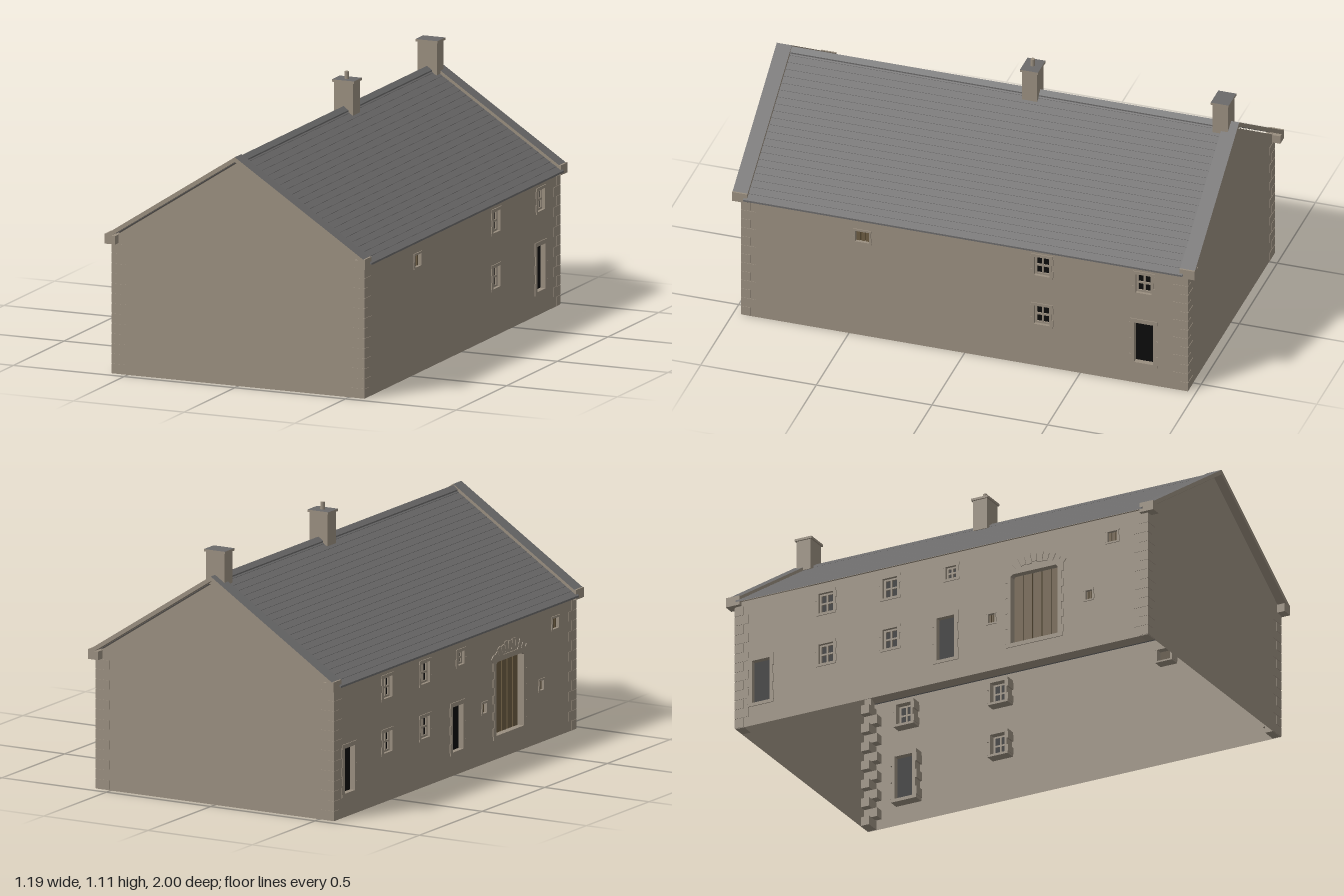
import * as THREE from 'three';

const mat = (name, color, side = THREE.FrontSide) => {
  const m = new THREE.MeshStandardMaterial({ color, side });
  m.name = name;
  return m;
};

export function createModel() {
  const model = new THREE.Group();
  model.name = 'farmhouse';
  const stone = mat('stone', 0x998e7f);
  const wallMat = mat('stoneWall', 0x998e7f, THREE.DoubleSide);
  const slate = mat('slate', 0x6b6a6a);
  const black = mat('darkOpening', 0x0c0c0c, THREE.DoubleSide);
  const wood = mat('doorWood', 0x6b5b42);
  const woodDark = mat('darkWood', 0x54462f);

  const X = 0.57, Z = 0.965, EAVE = 0.57, SLOPE = 0.65;
  const wallTop = x => 0.942 - SLOPE * Math.abs(x);

  const add = (parent, name, geo, material, x = 0, y = 0, z = 0) => {
    const m = new THREE.Mesh(geo, material);
    m.name = name;
    m.position.set(x, y, z);
    parent.add(m);
    return m;
  };
  const box = (parent, name, w, h, d, material, x, y, z) =>
    add(parent, name, new THREE.BoxGeometry(w, h, d), material, x, y, z);
  const poly = pts => new THREE.Shape(pts.map(p => new THREE.Vector2(...p)));

  // Gable walls
  for (const s of [1, -1]) {
    const g = new THREE.ShapeGeometry(poly([[-X, 0], [X, 0], [X, wallTop(X)], [0, wallTop(0)], [-X, wallTop(X)]]));
    add(model, 'gableWall', g, wallMat, 0, 0, s * Z).rotation.y = s > 0 ? 0 : Math.PI;
  }

  // Openings: u along the wall (left to right from outside), v centre height
  const STONE_D = 0.05, OUT = X + 0.004;
  const surround = (wall, name, u, v, w, h, jamb) => {
    const g = new THREE.Group();
    g.name = name + 'Surround';
    wall.add(g);
    const z = OUT - STONE_D / 2;
    const n = Math.max(2, Math.round(h / 0.035));
    for (const s of [-1, 1]) for (let i = 0; i < n; i++) {
      const jw = jamb * (i % 2 ? 0.7 : 1.15);
      box(g, 'jambStone', jw, h / n, STONE_D, stone, u + s * (w + jw) / 2, v - h / 2 + (i + 0.5) * h / n, z);
    }
    box(g, 'lintel', w + 2 * jamb, jamb, STONE_D, stone, u, v + (h + jamb) / 2, z);
    box(g, 'sill', w + 2 * jamb, jamb * 0.8, STONE_D, stone, u, v - h / 2 - jamb * 0.4, z);
  };
  const pane = (wall, name, u, v, w, h, z, material = black) =>
    add(wall, name, new THREE.PlaneGeometry(w, h), material, u, v, z);

  const fillers = {
    window(wall, u, v, w, h) {
      surround(wall, 'window', u, v, w, h, 0.013);
      pane(wall, 'glass', u, v, w, h, X - 0.016);
      const z = X - 0.013, t = 0.008;
      for (const s of [-1, 0, 1]) {
        box(wall, 'windowBar', t, h, 0.008, stone, u + s * (w - t) / 2, v, z);
        box(wall, 'windowBar', w, t, 0.008, stone, u, v + s * (h - t) / 2, z);
      }
    },
    door(wall, u, v, w, h) {
      surround(wall, 'door', u, v, w, h, 0.018);
      pane(wall, 'doorway', u, v, w, h, X - 0.02);
    },
    vent(wall, u, v, w, h) {
      surround(wall, 'vent', u, v, w, h, 0.009);
      box(wall, 'ventBack', w, h, 0.004, woodDark, u, v, X - 0.016);
      for (const s of [-1, 0, 1])
        box(wall, 'ventSlat', w * 0.24, h, 0.006, wood, u + s * w * 0.34, v, X - 0.012);
    },
    barnDoor(wall, u, v, w, h) {
      surround(wall, 'barnDoor', u, v, w, h, 0.022);
      box(wall, 'barnDoorBack', w, h, 0.006, woodDark, u, v, X - 0.034);
      for (let i = 0; i < 5; i++)
        box(wall, 'barnDoorPlank', w / 5 - 0.005, h, 0.008, wood, u + (i - 2) * w / 5, v, X - 0.029);
      // Arch stones over the door
      const R = 0.19, cy = v + h / 2 - 0.135, half = 0.72;
      for (let i = 0; i < 11; i++) {
        const a = -half + 2 * half * i / 10;
        const m = box(wall, 'archStone', 0.024, i % 2 ? 0.032 : 0.045, STONE_D, stone,
          u + R * Math.sin(a), cy + R * Math.cos(a), OUT - STONE_D / 2);
        m.rotation.z = -a;
      }
    },
  };

  // Side walls with cut openings
  const sideWall = (name, turn, openings) => {
    const wall = new THREE.Group();
    wall.name = name;
    wall.rotation.y = turn;
    model.add(wall);
    const shape = poly([[-Z, 0], [Z, 0], [Z, EAVE], [-Z, EAVE]]);
    for (const [type, u, v, w, h] of openings) {
      const a = u - w / 2, b = u + w / 2, c = v - h / 2, d = v + h / 2;
      shape.holes.push(new THREE.Path([[a, c], [a, d], [b, d], [b, c]].map(p => new THREE.Vector2(...p))));
      fillers[type](wall, u, v, w, h);
    }
    add(wall, 'wallFace', new THREE.ShapeGeometry(shape), wallMat, 0, 0, X);
  };
  const WIN = [0.068, 0.088], DOOR = [0.082, 0.19], VENT = [0.05, 0.045];
  sideWall('leftWall', Math.PI / 2, [
    ['window', 0.335, 0.48, ...WIN], ['window', 0.335, 0.245, ...WIN],
    ['window', 0.775, 0.48, ...WIN], ['door', 0.775, 0.195, ...DOOR],
    ['vent', -0.442, 0.475, 0.06, 0.05],
  ]);
  sideWall('rightWall', -Math.PI / 2, [
    ['door', -0.845, 0.195, ...DOOR],
    ['window', -0.54, 0.48, ...WIN], ['window', -0.54, 0.25, ...WIN],
    ['window', -0.24, 0.48, ...WIN], ['window', -0.24, 0.25, ...WIN],
    ['door', 0.02, 0.195, ...DOOR], ['window', 0.045, 0.485, 0.05, 0.055],
    ['vent', 0.234, 0.235, 0.03, 0.04], ['barnDoor', 0.435, 0.255, 0.22, 0.31],
    ['vent', 0.69, 0.24, 0.03, 0.04], ['vent', 0.8, 0.48, 0.045, 0.045],
  ]);

  // Alternating corner stones
  for (const sx of [-1, 1]) for (const sz of [-1, 1]) for (let i = 0; i < 13; i++) {
    const w = i % 2 ? 0.04 : 0.065, d = i % 2 ? 0.065 : 0.04;
    box(model, 'cornerStone', w, 0.039, d, stone,
      sx * (X + 0.002 - w / 2), 0.022 + i * 0.0422, sz * (Z + 0.002 - d / 2));
  }

  // Slate roof in slightly stepped courses, with inner lining
  const courses = 22, eaveX = 0.595, top = 0.957;
  for (const s of [-1, 1]) {
    const pts = [[0, top - 0.008], [0, top]];
    for (let i = 1; i <= courses; i++) {
      const x = eaveX * i / courses, y = top - SLOPE * x;
      pts.push([s * x, y]);
      if (i < courses) pts.push([s * x, y - 0.0015]);
    }
    pts.push([s * eaveX, top - SLOPE * eaveX - 0.008]);
    const g = new THREE.ExtrudeGeometry(poly(pts), { depth: 1.9, bevelEnabled: false });
    add(model, 'roofSlope', g, slate, 0, 0, -0.95);

    const len = Math.hypot(X, X * SLOPE);
    const lining = add(model, 'roofLining', new THREE.PlaneGeometry(len, 2 * Z), wallMat,
      s * X / 2, 0.945 - SLOPE * X / 2, 0);
    lining.rotation.set(-Math.PI / 2, s * Math.atan(SLOPE), 0);
  }
  const ridge = poly([[-0.022, 0.944], [0, 0.955], [0.022, 0.944], [0.022, 0.95], [0, 0.966], [-0.022, 0.95]]);
  add(model, 'ridgeTiles', new THREE.ExtrudeGeometry(ridge, { depth: 1.87, bevelEnabled: false }), slate, 0, 0, -0.935);

  // Gable copings with weathered tops, and kneeler stones at the eaves
  const capFaces = [stone, stone, slate, stone, stone, stone];
  const angle = Math.atan(SLOPE), run = 0.585;
  const length = run / Math.cos(angle), thick = 0.017;
  for (const sz of [-1, 1]) for (const sx of [-1, 1]) {
    const c = box(model, 'gableCoping', length, thick, 0.065, capFaces,
      sx * (run / 2 - Math.sin(angle) * thick / 2),
      0.971 - SLOPE * run / 2 - Math.cos(angle) * thick / 2, sz * 0.9675);
    c.rotation.z = -sx * angle;
    box(model, 'kneeler', 0.048, 0.036, 0.065, stone, sx * 0.564, 0.57, sz * 0.9675);
    box(model, 'kneelerCap', 0.022, 0.012, 0.065, stone, sx * 0.577, 0.588, sz * 0.9675);
  }

  // Chimneys
  for (const [z, pot] of [[-0.107, true], [-0.932, false]]) {
    const g = new THREE.Group();
    g.name = 'chimney';
    g.position.z = z;
    model.add(g);
    box(g, 'chimneyStack', 0.088, 0.135, 0.066, stone, 0, 0.9975, 0);
    box(g, 'chimneyCap', 0.1, 0.01, 0.078, capFaces, 0, 1.07, 0);
    if (pot) add(g, 'chimneyPot', new THREE.CylinderGeometry(0.009, 0.01, 0.032, 12), stone, 0, 1.09, 0);
  }

  return model;
}
